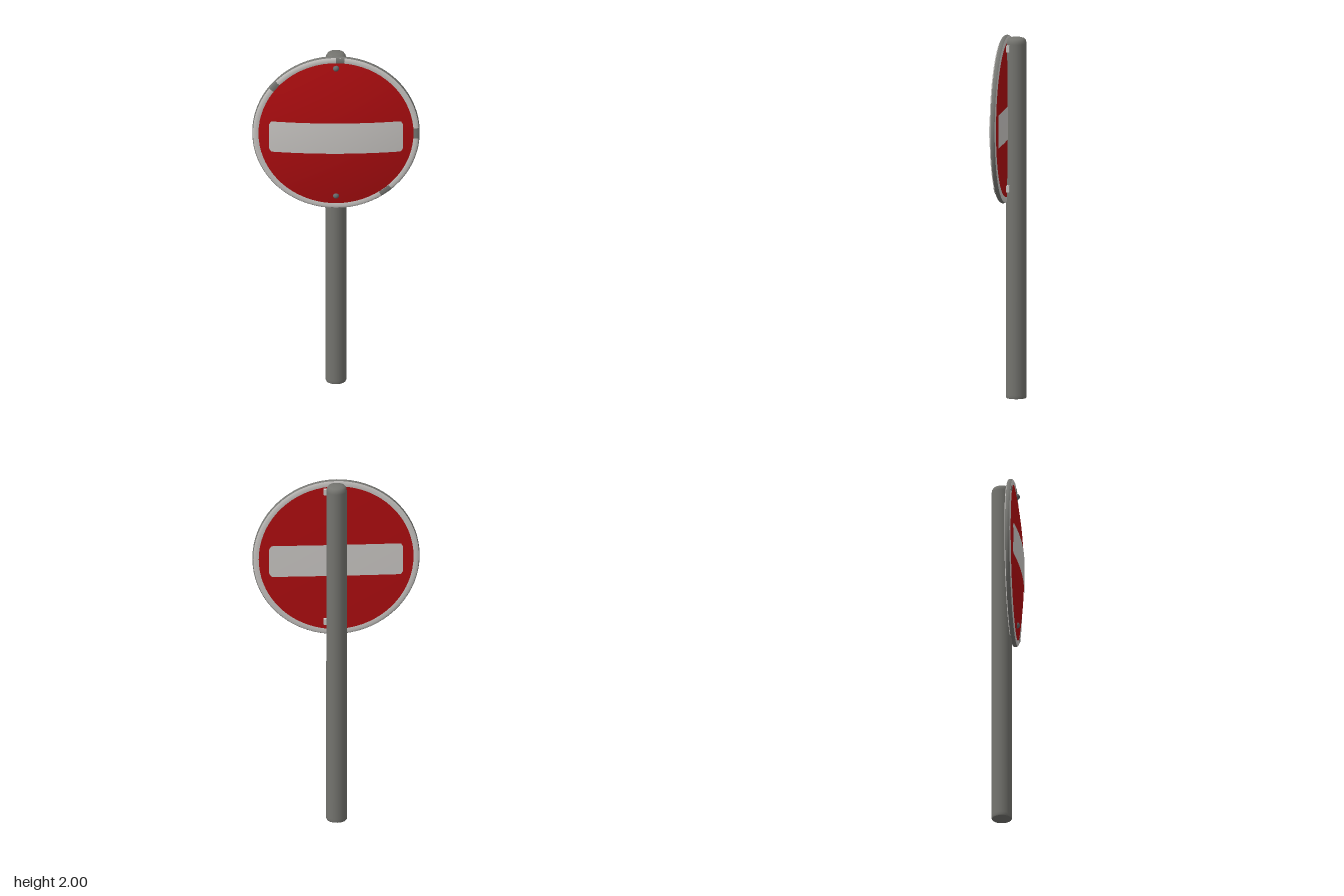
import * as THREE from 'three';

const mat = (name, color) => Object.assign(new THREE.MeshStandardMaterial({ color }), { name });

const CY = 1.536;      // height of the disc centre
const RED_R = 0.425;   // radius of the red field
const frontZ = (r) => 0.086 - 0.04 * (r / RED_R) ** 2;
const backZ = (r) => 0.012 + 0.005 * (r / RED_R) ** 2;

export function createModel() {
  const red = mat('signRed', 0xb00d10);
  const white = mat('signWhite', 0xcbc8c5);
  const steel = mat('postSteel', 0x74746f);
  const edge = mat('rimEdgeGrey', 0x777773);
  const bolt = mat('boltGrey', 0x666a6c);

  const model = new THREE.Group();
  model.name = 'roadSign';
  const add = (parent, name, geometry, material, x = 0, y = 0, z = 0) => {
    const mesh = new THREE.Mesh(geometry, material);
    mesh.name = name;
    mesh.position.set(x, y, z);
    parent.add(mesh);
    return mesh;
  };
  const vecs = (points) => points.map(([x, y]) => new THREE.Vector2(x, y));

  // Post with softly rounded top
  add(model, 'post', new THREE.LatheGeometry(vecs([
    [0, 0], [0.054, 0], [0.054, 0], [0.057, 0.006], [0.057, 0.02], [0.056, 1.955],
    [0.053, 1.972], [0.045, 1.983], [0.03, 1.988], [0, 1.99],
  ]), 24), steel, 0, 0, -0.03);

  // Disc parts are turned about the z axis; points are [radius, z]
  const disc = new THREE.Group();
  disc.name = 'signDisc';
  disc.position.y = CY;
  disc.scale.x = 0.993;
  model.add(disc);
  const turned = (points, segments = 72, start = 0, length = Math.PI * 2) =>
    new THREE.LatheGeometry(vecs(points), segments, start, length).rotateX(Math.PI / 2);

  const radii = Array.from({ length: 11 }, (_, i) => (RED_R * i) / 10);
  add(disc, 'backField', turned(radii.map((r) => [r, backZ(r)])), red);
  add(disc, 'frontField', turned(radii.map((r) => [r, frontZ(r)]).reverse()), red);

  // Rim: white faces and grey outer edge
  const rimFront = [[0.455, 0.043], [0.443, 0.05], [RED_R, 0.046]];
  add(disc, 'rimBack', turned([[RED_R, 0.017], [0.443, 0.015], [0.455, 0.02]]), white);
  add(disc, 'rimEdge', turned([[0.455, 0.02], [0.459, 0.027], [0.459, 0.036], [0.455, 0.043]]), edge);
  add(disc, 'rimFront', turned(rimFront), white);

  // Worn patches on the rim: [angle from the bottom, width] in degrees
  const patch = rimFront.map(([r, z]) => [r, z + 0.0015]);
  for (const [angle, width] of [[90, 8], [38, 9], [177, 6], [230, 7]]) {
    const a = THREE.MathUtils.degToRad(angle - width / 2);
    add(disc, 'wornPatch', turned(patch, 6, a, THREE.MathUtils.degToRad(width)), edge);
  }

  // White bar with rounded corners, following the surface below it
  const barGeometry = (surface) => {
    const w = 0.735, h = 0.184, corner = 0.02;
    const g = new THREE.PlaneGeometry(w, h, 72, 6);
    const p = g.attributes.position;
    for (let i = 0; i < p.count; i++) {
      const x = p.getX(i);
      const d = Math.max(0, Math.abs(x) - (w / 2 - corner));
      const cut = corner - Math.sqrt(Math.max(0, corner ** 2 - d ** 2));
      const y = p.getY(i) * (1 - cut / (h / 2)) - 0.013;
      p.setXYZ(i, x, y, surface(Math.hypot(x, y)));
    }
    g.computeVertexNormals();
    return g;
  };
  add(disc, 'frontBar', barGeometry((r) => frontZ(r) + 0.003), white);
  add(disc, 'backBar', barGeometry((r) => 0.003 - backZ(r)).rotateY(Math.PI), white);

  // Bolts on the front and mounting clips behind
  for (const y of [1.932, 1.16]) {
    const head = new THREE.SphereGeometry(0.017, 16, 8, 0, Math.PI * 2, 0, Math.PI / 2);
    add(model, 'bolt', head.rotateX(Math.PI / 2), bolt, 0, y, 0.052);
    add(model, 'clip', new THREE.BoxGeometry(0.1, 0.035, 0.016), white, 0.018, y, 0.008);
  }
  return model;
}
